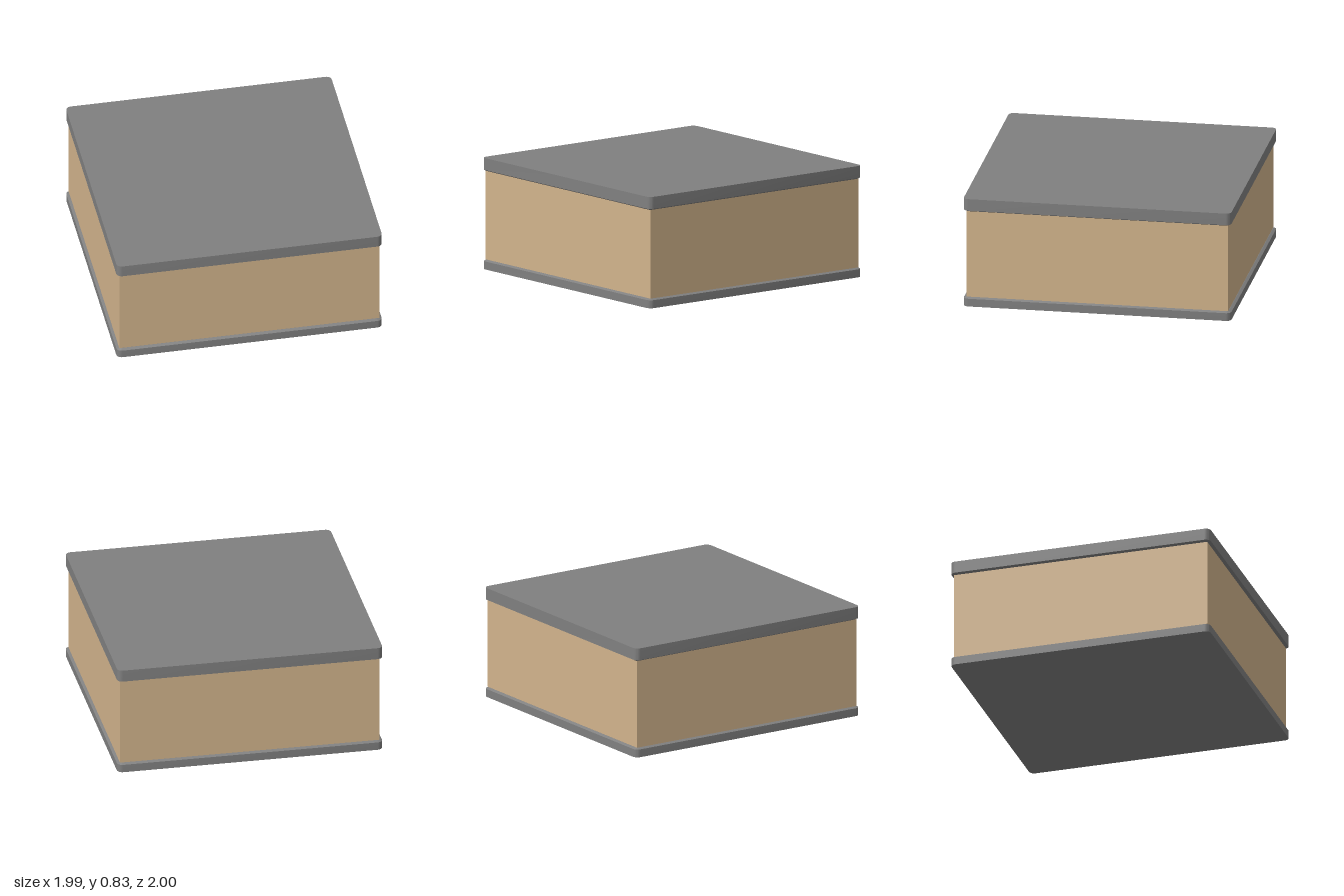
import * as THREE from 'three';
import { toCreasedNormals } from 'three/addons/utils/BufferGeometryUtils.js';

const HALF_X = 0.995, HALF_Z = 1, RADIUS = 0.04, INSET = 0.02, CHAMFER = 0.01;

// Rounded rectangle ring at height y, drawn in by inset
function ring(y, inset, segments = 6) {
  const points = [];
  const corners = [[1, 1], [-1, 1], [-1, -1], [1, -1]];
  corners.forEach(([sx, sz], q) => {
    for (let i = 0; i <= segments; i++) {
      const a = (q + i / segments) * Math.PI / 2;
      const r = RADIUS - inset;
      points.push(new THREE.Vector3(
        sx * (HALF_X - RADIUS) + r * Math.cos(a), y,
        sz * (HALF_Z - RADIUS) + r * Math.sin(a)));
    }
  });
  return points;
}

// Closed solid through rings ordered from bottom to top
function loft(rings) {
  const triangles = [];
  const n = rings[0].length;
  const last = rings[rings.length - 1];
  const bottom = new THREE.Vector3(0, rings[0][0].y, 0);
  const top = new THREE.Vector3(0, last[0].y, 0);
  for (let i = 0; i < n; i++) {
    const j = (i + 1) % n;
    for (let k = 0; k < rings.length - 1; k++) {
      const a = rings[k], b = rings[k + 1];
      triangles.push(a[i], b[i], a[j], a[j], b[i], b[j]);
    }
    triangles.push(bottom, rings[0][i], rings[0][j], top, last[j], last[i]);
  }
  const geometry = new THREE.BufferGeometry().setFromPoints(triangles);
  return toCreasedNormals(geometry, Math.PI / 7);
}

export function createModel() {
  const group = new THREE.Group();
  const grey = new THREE.MeshStandardMaterial({ color: 0x808080 });
  const tan = new THREE.MeshStandardMaterial({ color: 0xd2b48c });
  const add = (name, geometry, material) => {
    const mesh = new THREE.Mesh(geometry, material);
    mesh.name = name;
    group.add(mesh);
    return mesh;
  };

  // Base plate, chamfered where it meets the body
  add('basePlate', loft([ring(0, 0), ring(0.07 - CHAMFER, 0), ring(0.07, INSET)]), grey);

  // Square-cornered core
  add('body', new THREE.BoxGeometry(1.95, 0.665, 1.955), tan).position.y = 0.4025;

  // Thicker top plate, chamfered underneath
  add('topPlate', loft([ring(0.735, INSET), ring(0.735 + CHAMFER, 0), ring(0.835, 0)]), grey);

  return group;
}
